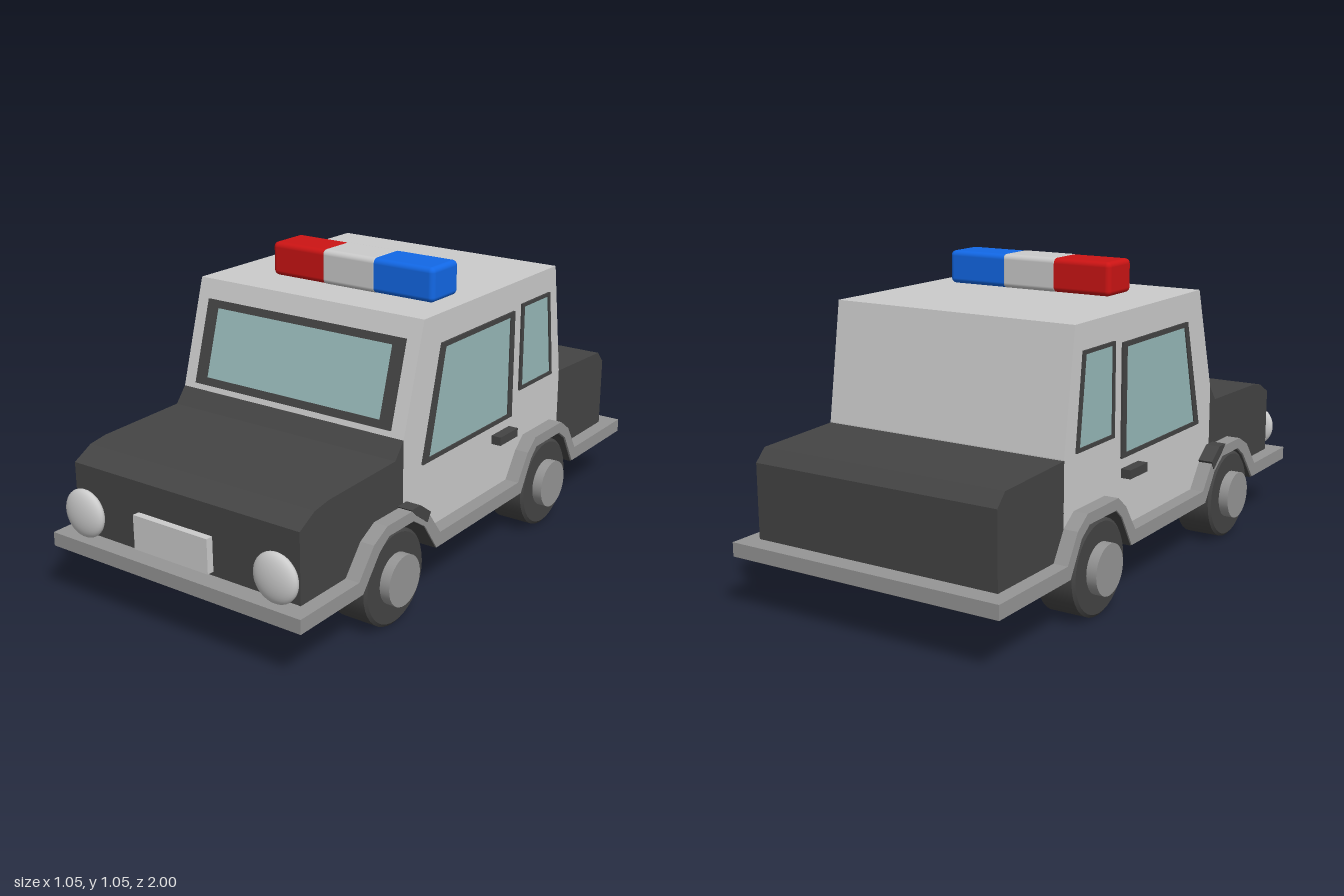
import * as THREE from 'three';
import { RoundedBoxGeometry } from 'three/addons/geometries/RoundedBoxGeometry.js';

const paint = (color) => new THREE.MeshStandardMaterial({ color });
const white = paint(0xcccccc), black = paint(0x444444), grey = paint(0x959595);
const glass = paint(0x97b9b9), red = paint(0xcc1414), blue = paint(0x1268e6);

const toShape = (pts) => new THREE.Shape(pts.map(([a, b]) => new THREE.Vector2(a, b)));

// Extrudes a side profile of [z, y] points across the car.
function prism(pts, width, hole) {
  const shape = toShape(pts);
  if (hole) shape.holes.push(toShape(hole));
  const geo = new THREE.ExtrudeGeometry(shape, { depth: width, bevelEnabled: false });
  return geo.translate(0, 0, -width / 2).rotateY(-Math.PI / 2);
}

export function createModel() {
  const car = new THREE.Group();
  car.name = 'patrolCar';
  const add = (name, geo, mat, x = 0, y = 0, z = 0, parent = car) => {
    const mesh = new THREE.Mesh(geo, mat);
    mesh.name = name;
    mesh.position.set(x, y, z);
    parent.add(mesh);
    return mesh;
  };

  // Wheel arch lines, front to back
  const frontArch = [[0.72, 0.232], [0.645, 0.324], [0.575, 0.361], [0.42, 0.361]];
  const frontArchRear = [[0.345, 0.318], [0.28, 0.232]];
  const rearArch = [[-0.217, 0.232], [-0.28, 0.324], [-0.33, 0.365], [-0.52, 0.365], [-0.578, 0.324]];
  const rearArchEnd = [-0.635, 0.232];
  const trimTop = [[1, 0.232], ...frontArch, ...frontArchRear, ...rearArch, rearArchEnd, [-1, 0.232]];
  const trimBottom = [
    [1, 0.185], [0.7, 0.185], [0.615, 0.29], [0.565, 0.325], [0.432, 0.325], [0.37, 0.285], [0.3, 0.185],
    [-0.24, 0.185], [-0.305, 0.295], [-0.342, 0.328], [-0.508, 0.328], [-0.555, 0.295], [-0.618, 0.185], [-1, 0.185],
  ];

  // Bumper and sill trim, with a dark floor below
  add('bumperAndSillTrim', prism([...trimTop, ...[...trimBottom].reverse()], 1), grey);
  const floorTop = trimBottom.map(([z, y]) => [z * 0.995, y + 0.002]);
  const floorLow = trimBottom.map(([z, y]) => [z * 0.995, y - 0.003]);
  add('underbody', prism([...floorTop, ...floorLow.reverse()], 0.99), black);

  // Body
  add('hood', prism([
    [0.935, 0.232], ...frontArch, [0.42, 0.576], [0.463, 0.522], [0.8, 0.513], [0.865, 0.502], [0.935, 0.463],
  ], 0.9), black);
  add('cabin', prism([
    [0.42, 0.361], ...frontArchRear, ...rearArch, [-0.578, 0.538], [-0.517, 0.935], [0.313, 0.935], [0.42, 0.576],
  ], 0.9), white);
  add('trunk', prism([
    [-0.576, 0.324], rearArchEnd, [-0.932, 0.232], [-0.932, 0.48], [-0.892, 0.522], [-0.576, 0.535],
  ], 0.9), black);

  // Windshield, lying on the sloped front of the cabin
  const windshield = new THREE.Group();
  windshield.name = 'windshield';
  windshield.position.set(0, 0.7325, 0.373);
  windshield.rotation.x = -Math.atan2(0.107, 0.359);
  car.add(windshield);
  const rect = (w, h) => [[-w, -h], [w, -h], [w, h], [-w, h]];
  const frame = toShape(rect(0.4, 0.144));
  frame.holes.push(toShape(rect(0.355, 0.118)));
  add('windshieldFrame', new THREE.ExtrudeGeometry(frame, { depth: 0.012, bevelEnabled: false }), black, 0, 0, -0.005, windshield);
  add('windshieldGlass', new THREE.BoxGeometry(0.72, 0.24, 0.006), glass, 0, 0, 0, windshield);

  // Side windows, handles, arch flaps and headlights
  const windows = [
    ['frontWindow',
      [[0.217, 0.838], [-0.233, 0.838], [-0.233, 0.463], [0.319, 0.463]],
      [[0.196, 0.822], [-0.206, 0.822], [-0.206, 0.478], [0.284, 0.478]]],
    ['rearWindow',
      [[-0.282, 0.851], [-0.474, 0.851], [-0.512, 0.543], [-0.282, 0.543]],
      [[-0.297, 0.839], [-0.461, 0.839], [-0.497, 0.556], [-0.297, 0.556]]],
  ];
  const flap = [[0.45, 0.368], [0.4, 0.368], [0.34, 0.325], [0.358, 0.295], [0.42, 0.34]];
  for (const side of [-1, 1]) {
    for (const [name, outer, inner] of windows) {
      add(name + 'Frame', prism(outer, 0.014, inner), black, side * 0.45);
      add(name + 'Glass', prism(inner, 0.006), glass, side * 0.45);
    }
    add('doorHandle', new THREE.BoxGeometry(0.045, 0.03, 0.115), black, side * 0.463, 0.413, -0.17);
    add('archFlap', prism(flap, 0.055), black, side * 0.475);
    const lamp = new THREE.SphereGeometry(0.081, 32, 20).scale(1, 1, 0.37);
    add('headlight', lamp, white, side * 0.385, 0.315, 0.965);
  }
  add('frontPlate', new THREE.BoxGeometry(0.3, 0.115, 0.04), white, -0.03, 0.303, 0.94);

  // Wheels and axles
  const tireProfile = [[0, -0.07], [0.148, -0.07], [0.158, -0.062], [0.158, 0.062], [0.148, 0.07], [0, 0.07]];
  for (const [end, z] of [['front', 0.517], ['rear', -0.426]]) {
    add(end + 'Axle', new THREE.CylinderGeometry(0.033, 0.033, 0.8, 20).rotateZ(Math.PI / 2), black, 0, 0.163, z);
    for (const side of [-1, 1]) {
      // Separate bands keep the tyre edges crisp
      for (let i = 0; i < tireProfile.length - 1; i++) {
        const band = [tireProfile[i], tireProfile[i + 1]].map(([r, h]) => new THREE.Vector2(r, h));
        add(end + 'Tire', new THREE.LatheGeometry(band, 36).rotateZ(Math.PI / 2), black, side * 0.42, 0.163, z);
      }
      add(end + 'Hub', new THREE.CylinderGeometry(0.084, 0.084, 0.06, 32).rotateZ(Math.PI / 2), grey, side * 0.495, 0.163, z);
    }
  }

  // Roof light bar: rounded coloured ends and a clear middle
  const lampEnd = (w) => new RoundedBoxGeometry(w, 0.115, 0.152, 4, 0.018);
  add('redLight', lampEnd(0.237), red, -0.1535, 0.992, 0.076);
  add('blueLight', lampEnd(0.25), blue, 0.25, 0.992, 0.076);
  add('clearLight', new RoundedBoxGeometry(0.3, 0.117, 0.154, 4, 0.018)
    .scale(0.22 / 0.3, 1, 1), white, 0.045, 0.992, 0.076);
  return car;
}
